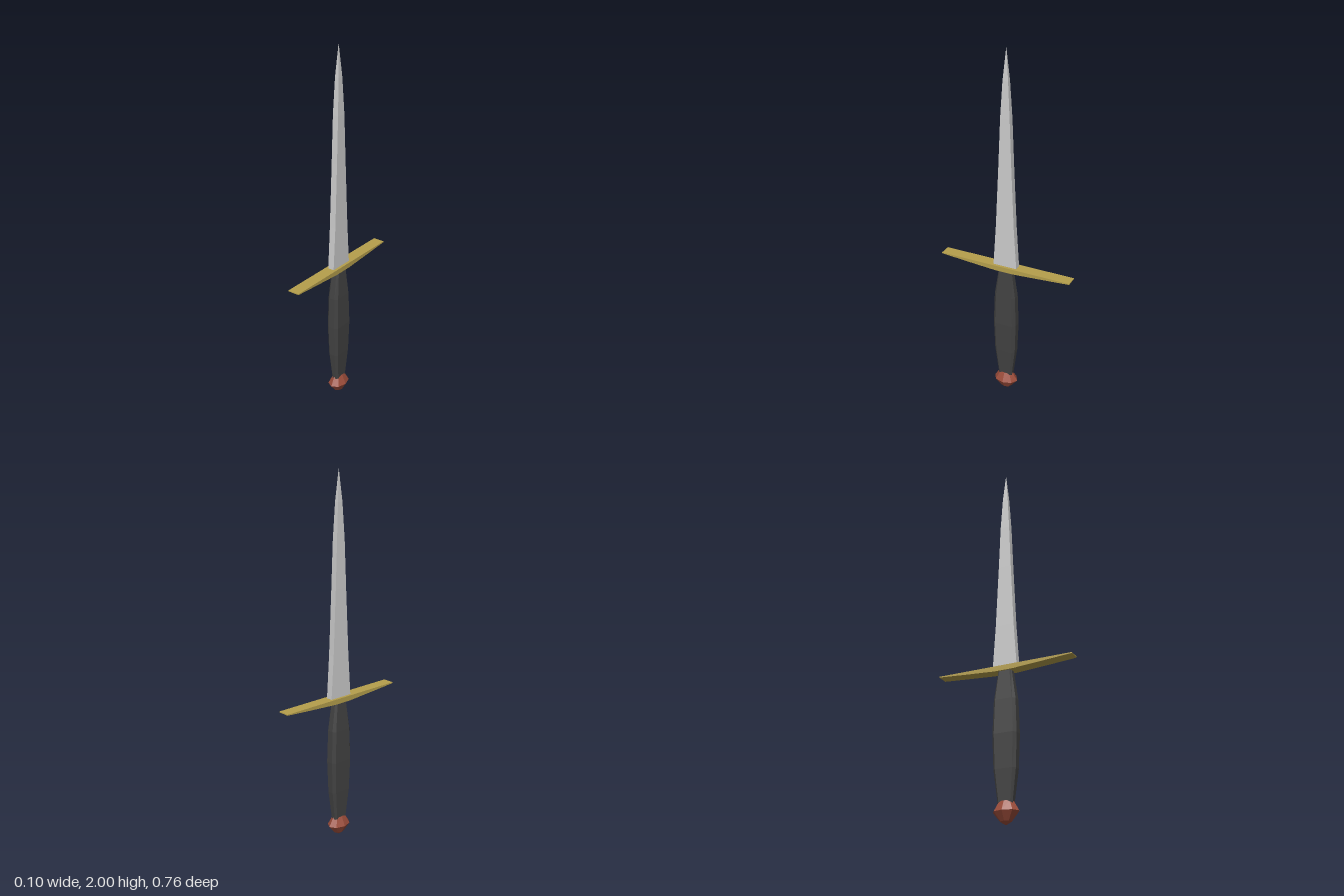
import * as THREE from 'three';

// Lofts an outline of [x, z] points through sections [y, halfX, halfZ] and caps both ends
function loft(outline, sections) {
  const n = outline.length;
  const last = (sections.length - 1) * n;
  const positions = [];
  const index = [];
  for (const [y, hx, hz] of sections) {
    for (const [x, z] of outline) positions.push(x * hx, y, z * hz);
  }
  for (let s = 0; s < sections.length - 1; s++) {
    for (let i = 0; i < n; i++) {
      const a = s * n + i, b = s * n + (i + 1) % n;
      index.push(a, a + n, b, b, a + n, b + n);
    }
  }
  for (let i = 1; i < n - 1; i++) {
    index.push(0, i, i + 1, last, last + i + 1, last + i);
  }
  const geometry = new THREE.BufferGeometry();
  geometry.setAttribute('position', new THREE.Float32BufferAttribute(positions, 3));
  geometry.setIndex(index);
  const flat = geometry.toNonIndexed();
  flat.computeVertexNormals();
  return flat;
}

function part(name, geometry, color) {
  const material = new THREE.MeshStandardMaterial({ color, flatShading: true });
  const mesh = new THREE.Mesh(geometry, material);
  mesh.name = name;
  return mesh;
}

export function createModel() {
  const group = new THREE.Group();
  group.name = 'dagger';

  // Blade: slim rectangular section drawn to a point
  const rectangle = [[1, -1], [1, 1], [-1, 1], [-1, -1]];
  group.add(part('blade', loft(rectangle, [
    [0.81, 0.018, 0.068],
    [1.05, 0.018, 0.052],
    [1.4, 0.017, 0.036],
    [1.65, 0.016, 0.026],
    [1.84, 0.011, 0.015],
    [2.0, 0.0005, 0.0005],
  ]), 0xcccccc));

  // Crossguard: flat on top, tapering underneath to thin ends
  const profile = new THREE.Shape([
    [-0.378, 0.815], [-0.378, 0.81], [-0.2, 0.797], [-0.05, 0.787],
    [0.05, 0.787], [0.2, 0.797], [0.378, 0.81], [0.378, 0.815],
  ].map(([z, y]) => new THREE.Vector2(z, y)));
  const guard = new THREE.ExtrudeGeometry(profile, { depth: 0.066, bevelEnabled: false });
  guard.translate(0, 0, -0.033).rotateY(Math.PI / 2);
  group.add(part('crossguard', guard, 0xb59f4c));

  // Grip: chamfered section, swelling at the middle
  const chamfered = [
    [1, -0.77], [1, 0.77], [0.55, 1], [-0.55, 1],
    [-1, 0.77], [-1, -0.77], [-0.55, -1], [0.55, -1],
  ];
  group.add(part('grip', loft(chamfered, [
    [0.1, 0.021, 0.04],
    [0.27, 0.031, 0.061],
    [0.45, 0.036, 0.067],
    [0.63, 0.032, 0.061],
    [0.79, 0.024, 0.038],
  ]), 0x424242));

  // Pommel: faceted oval knob
  const octagon = Array.from({ length: 8 }, (_, i) => {
    const angle = i * Math.PI / 4;
    return [Math.cos(angle), Math.sin(angle)];
  });
  group.add(part('pommel', loft(octagon, [
    [0, 0.004, 0.005],
    [0.015, 0.023, 0.031],
    [0.062, 0.05, 0.07],
    [0.112, 0.026, 0.04],
  ]), 0x9a4c3a));

  return group;
}
